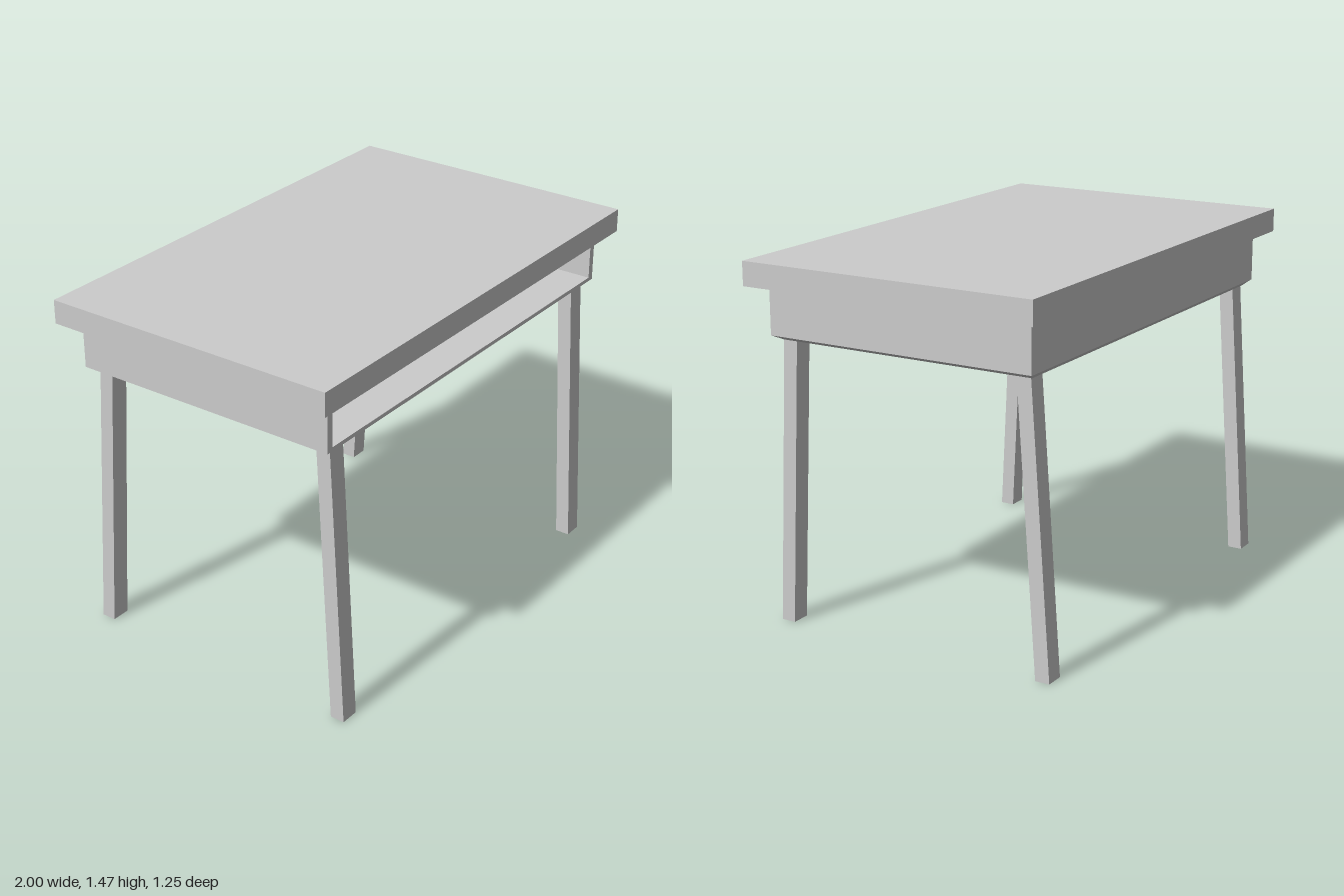
import * as THREE from 'three';

const material = new THREE.MeshStandardMaterial({ color: 0xcccccc, flatShading: true });

// Adds a named mesh to a parent
function add(parent, name, geometry, x = 0, y = 0, z = 0) {
  const mesh = new THREE.Mesh(geometry, material);
  mesh.name = name;
  mesh.position.set(x, y, z);
  parent.add(mesh);
  return mesh;
}

// Box standing on y = 0 whose bottom corners are moved by a rule
function boxWithBottom(w, h, d, rule) {
  const geometry = new THREE.BoxGeometry(w, h, d).translate(0, h / 2, 0);
  const p = geometry.attributes.position;
  for (let i = 0; i < p.count; i++) {
    if (p.getY(i) > h / 2) continue;
    const [x, z] = rule(p.getX(i), p.getZ(i));
    p.setXYZ(i, x, 0, z);
  }
  geometry.computeVertexNormals();
  return geometry;
}

function rectangle(target, x0, y0, x1, y1) {
  target.moveTo(x0, y0);
  target.lineTo(x1, y0);
  target.lineTo(x1, y1);
  target.lineTo(x0, y1);
  target.closePath();
  return target;
}

export function createModel() {
  const desk = new THREE.Group();
  desk.name = 'desk';

  // Overhanging table top
  add(desk, 'tableTop', new THREE.BoxGeometry(2, 0.096, 1.25), 0, 1.417, 0);

  // Storage tray: a sleeve open at the front, closed by a back panel
  const tray = new THREE.Group();
  tray.name = 'tray';
  desk.add(tray);
  const section = rectangle(new THREE.Shape(), -0.915, 1.17, 0.915, 1.369);
  section.holes.push(rectangle(new THREE.Path(), -0.886, 1.186, 0.886, 1.353));
  add(tray, 'traySleeve', new THREE.ExtrudeGeometry(section, { depth: 1.11, bevelEnabled: false }), 0, 0, -0.54);
  add(tray, 'trayBack', new THREE.BoxGeometry(1.83, 0.199, 0.03), 0, 1.2695, -0.555);

  // Bevelled underside
  add(tray, 'trayUnderside', boxWithBottom(1.83, 0.022, 1.14,
    (x, z) => [Math.sign(x) * 0.87, Math.sign(z) * 0.545]), 0, 1.148, 0);

  // Splayed legs, the back pair leaning a little more
  for (const [end, top, foot] of [['front', 0.515, 0.572], ['back', -0.51, -0.588]]) {
    for (const [side, s] of [['Left', 1], ['Right', -1]]) {
      add(desk, `${end}${side}Leg`, boxWithBottom(0.078, 1.149, 0.06,
        (x, z) => [x, z + foot - top]), s * 0.829, 0, top);
    }
  }
  return desk;
}
